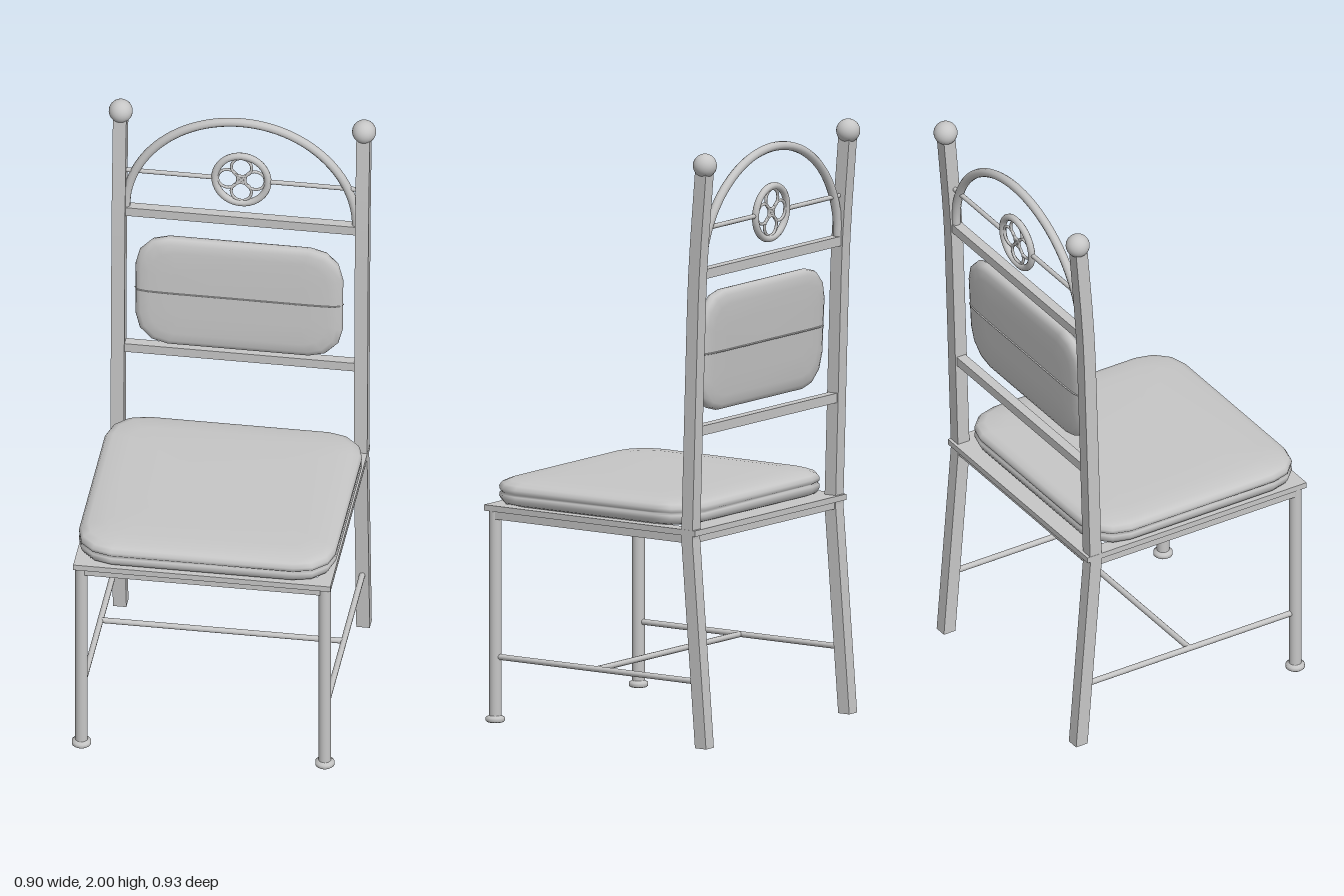
import * as THREE from 'three';

const metal = new THREE.MeshStandardMaterial({ color: 0xc6c6c6 });
metal.name = 'light grey';

// Side curve of the back posts: bent at the seat, leaning back towards the top
const lean = new THREE.CatmullRomCurve3([[0.7, -0.366], [1, -0.375], [1.3, -0.384], [1.6, -0.395], [1.94, -0.422]]
  .map(([y, z]) => new THREE.Vector3(0, y, z)));
const leanPoints = lean.getPoints(12);

export function createModel() {
  const chair = new THREE.Group();
  chair.name = 'chair';

  const add = (name, geometry, x = 0, y = 0, z = 0, parent = chair) => {
    const mesh = new THREE.Mesh(geometry, metal);
    mesh.name = name;
    mesh.position.set(x, y, z);
    parent.add(mesh);
    return mesh;
  };
  const box = (name, w, h, d, x, y, z) => add(name, new THREE.BoxGeometry(w, h, d), x, y, z);
  const rod = (name, a, b, r) => {
    const curve = new THREE.LineCurve3(new THREE.Vector3(...a), new THREE.Vector3(...b));
    return add(name, new THREE.TubeGeometry(curve, 1, r, 10));
  };

  // Bent square post, extruded from its side profile
  const half = 0.0225;
  const spine = [[-0.422, 0], ...leanPoints.map(p => [p.z, p.y])];
  const profile = new THREE.Shape([
    ...spine.map(([z, y]) => new THREE.Vector2(z + half, y)),
    ...spine.map(([z, y]) => new THREE.Vector2(z - half, y)).reverse()
  ]);
  const postGeometry = new THREE.ExtrudeGeometry(profile, { depth: 2 * half, bevelEnabled: false });
  postGeometry.translate(0, 0, -half).rotateY(-Math.PI / 2);

  // Legs, feet, posts, ball finials and side stretchers
  for (const [side, s] of [['left', 1], ['right', -1]]) {
    const x = 0.408 * s;
    add(side + 'BackPost', postGeometry, x);
    add(side + 'Finial', new THREE.SphereGeometry(0.04, 24, 16), x, 1.96, -0.424);
    add(side + 'FrontLeg', new THREE.CylinderGeometry(0.021, 0.021, 0.71, 20), x, 0.355, 0.43);
    add(side + 'Foot', new THREE.LatheGeometry([[0, 0], [0.027, 0], [0.032, 0.004], [0.032, 0.016], [0.021, 0.022]]
      .map(p => new THREE.Vector2(...p)), 20), x, 0, 0.43);
    rod(side + 'Stretcher', [x, 0.22, 0.43], [x, 0.22, -0.405], 0.01);
    // Side seat rails
    box(side + 'SeatBar', 0.035, 0.03, 0.8, x, 0.7, 0.03);
    box(side + 'SeatFlange', 0.05, 0.02, 0.86, 0.406 * s, 0.721, 0.03);
  }
  rod('crossStretcher', [-0.408, 0.22, 0.015], [0.408, 0.22, 0.015], 0.01);
  box('frontSeatBar', 0.79, 0.03, 0.035, 0, 0.7, 0.43);
  box('backSeatBar', 0.79, 0.03, 0.035, 0, 0.7, -0.367);
  box('frontSeatFlange', 0.77, 0.02, 0.05, 0, 0.721, 0.435);
  box('backSeatFlange', 0.77, 0.02, 0.09, 0, 0.721, -0.355);

  // Back rails
  box('lowerBackRail', 0.78, 0.032, 0.034, 0, 1.06, -0.377);
  box('upperBackRail', 0.78, 0.032, 0.034, 0, 1.59, -0.395);

  // Arch leaning with the posts
  const arch = [];
  for (let i = 0; i <= 24; i++) {
    const a = Math.PI * i / 24, rise = Math.sin(a);
    arch.push(new THREE.Vector3(0.387 * Math.cos(a), 1.6 + 0.363 * rise, -0.396 - 0.014 * rise));
  }
  add('arch', new THREE.TubeGeometry(new THREE.CatmullRomCurve3(arch), 48, 0.015, 10));

  // Round medallion: four inner rings and a crossing, held by two thin rods
  const medallion = new THREE.Group();
  medallion.name = 'medallion';
  medallion.position.set(0, 1.742, -0.402);
  medallion.rotation.x = -0.06;
  chair.add(medallion);
  add('outerRing', new THREE.TorusGeometry(0.089, 0.012, 10, 40), 0, 0, 0, medallion);
  for (let i = 0; i < 4; i++) {
    const a = i * Math.PI / 2;
    add('innerRing', new THREE.TorusGeometry(0.034, 0.005, 8, 24), 0.046 * Math.cos(a), 0.046 * Math.sin(a), 0, medallion);
  }
  for (const s of [-1, 1]) {
    add('crossing', new THREE.BoxGeometry(0.07, 0.008, 0.008), 0, 0, 0, medallion).rotation.z = s * Math.PI / 4;
    rod('medallionRod', [0.09 * s, 1.742, -0.402], [0.395 * s, 1.742, -0.402], 0.008);
  }

  // Cushions: rounded rectangles lofted through [inset, height] rings
  add('seatCushion', cushion(0.431, 0.406, 0.125, [
    [0.1, 0.731], [0.03, 0.732], [0.008, 0.74], [0, 0.755], [0.001, 0.768], [0.007, 0.773],
    [0.001, 0.778], [0, 0.79], [0.008, 0.803], [0.03, 0.812], [0.09, 0.818], [0.2, 0.82]]), 0, 0, 0.053);

  const backCushion = new THREE.Group();
  backCushion.name = 'backCushion';
  backCushion.position.set(0, 1.31, -0.356);
  backCushion.rotation.x = -0.05;
  chair.add(backCushion);
  const pad = cushion(0.348, 0.205, 0.11, [
    [0.12, -0.026], [0.05, -0.025], [0.02, -0.021], [0.004, -0.013], [0, 0],
    [0.004, 0.013], [0.02, 0.021], [0.05, 0.025], [0.12, 0.026]]);
  add('backPad', pad.rotateX(Math.PI / 2), 0, 0, 0, backCushion);
  // Cord around the middle of the back pad
  const front = [[0.328, 0.021], [0.298, 0.025], [0, 0.0265], [-0.298, 0.025], [-0.328, 0.021], [-0.344, 0.013]];
  const cord = [[0.348, 0], [0.344, 0.013], ...front, [-0.348, 0], [-0.344, -0.013],
    ...front.map(([x, z]) => [-x, -z])].map(([x, z]) => new THREE.Vector3(x, 0, z));
  add('backCord', new THREE.TubeGeometry(new THREE.CatmullRomCurve3(cord, true), 64, 0.003, 6, true), 0, 0, 0, backCushion);

  return chair;
}

// Closed loft with smooth normals; a and b are half sizes, r the corner radius
function cushion(a, b, r, rings) {
  const steps = 3, n = 4 * (steps + 1), pos = [], index = [];
  for (const [inset, y] of rings) {
    const rr = Math.max(r - inset * 0.6, 0.03);
    for (let c = 0; c < 4; c++) {
      const sx = c === 0 || c === 3 ? 1 : -1, sz = c < 2 ? 1 : -1;
      for (let i = 0; i <= steps; i++) {
        const t = (c + i / steps) * Math.PI / 2;
        pos.push(sx * (a - inset - rr) + rr * Math.cos(t), y, sz * (b - inset - rr) + rr * Math.sin(t));
      }
    }
  }
  const last = rings.length - 1;
  for (let k = 0; k < last; k++) for (let i = 0; i < n; i++) {
    const j = (i + 1) % n, p = k * n + i, q = k * n + j;
    index.push(p, p + n, q, q, p + n, q + n);
  }
  // Caps
  const bottom = pos.length / 3;
  pos.push(0, rings[0][1], 0, 0, rings[last][1], 0);
  for (let i = 0; i < n; i++) {
    const j = (i + 1) % n;
    index.push(bottom, i, j, bottom + 1, last * n + j, last * n + i);
  }
  const g = new THREE.BufferGeometry();
  g.setAttribute('position', new THREE.Float32BufferAttribute(pos, 3));
  g.setIndex(index);
  g.computeVertexNormals();
  return g;
}
